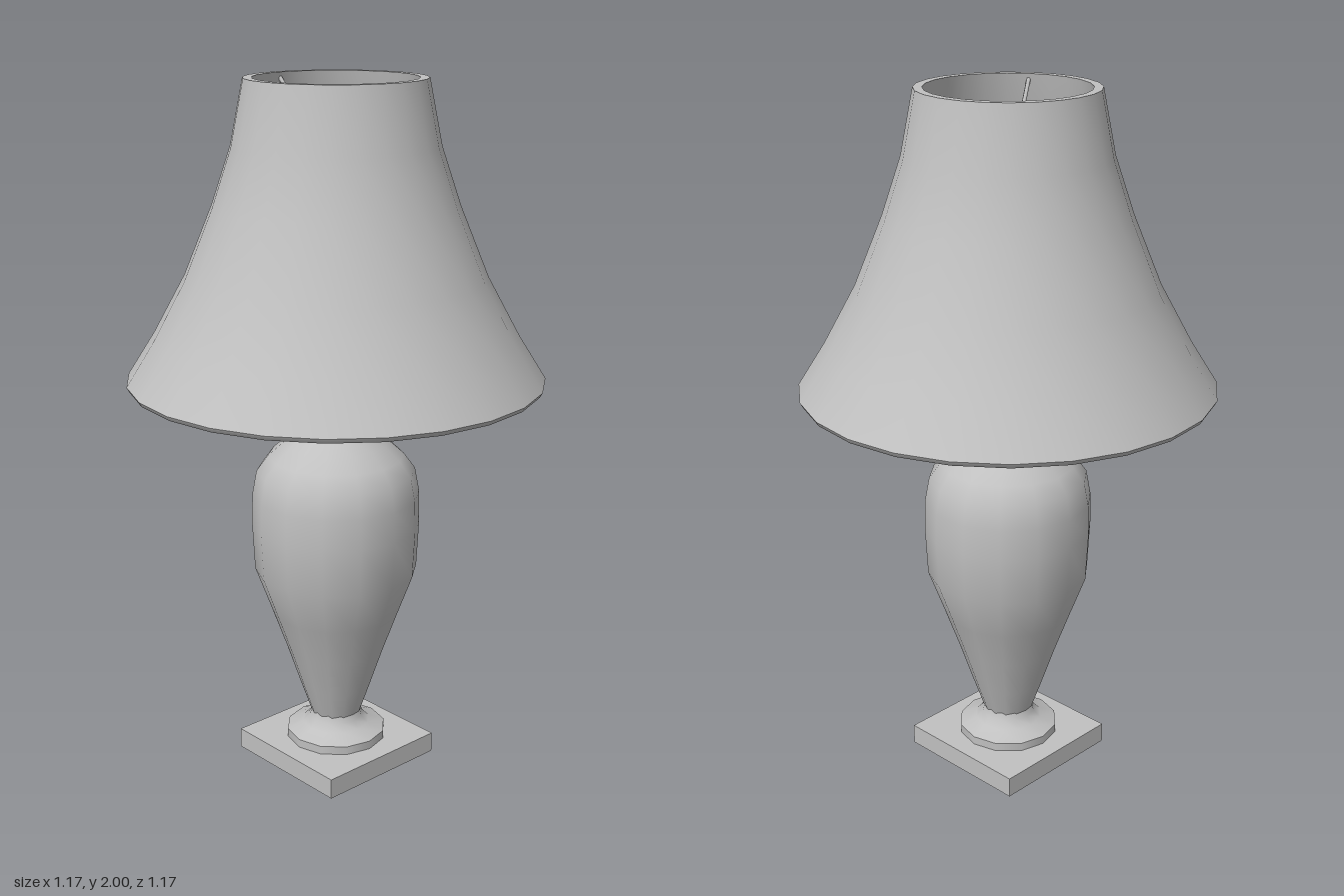
import * as THREE from 'three';

const grey = new THREE.MeshStandardMaterial({ color: 0xc0c0c0 });
grey.name = 'plain grey';

export function createModel() {
  const lamp = new THREE.Group();
  lamp.name = 'tableLamp';

  const add = (name, geometry, parent = lamp) => {
    const mesh = new THREE.Mesh(geometry, grey);
    mesh.name = name;
    parent.add(mesh);
    return mesh;
  };
  // Profile of [radius, height] points; the outside runs upwards
  const lathe = (name, points, sides, parent) =>
    add(name, new THREE.LatheGeometry(points.map(p => new THREE.Vector2(...p)), sides), parent);
  const wire = (name, points, radius, parent) => {
    const path = new THREE.CurvePath();
    const v = points.map(p => new THREE.Vector3(...p));
    for (let i = 1; i < v.length; i++) path.add(new THREE.LineCurve3(v[i - 1], v[i]));
    return add(name, new THREE.TubeGeometry(path, (v.length - 1) * 6, radius, 6), parent);
  };

  // Square plinth and round foot
  add('plinth', new THREE.BoxGeometry(0.41, 0.06, 0.41)).position.y = 0.03;
  lathe('footRim', [[0.148, 0.06], [0.148, 0.085]], 12);
  lathe('footSlope', [[0.148, 0.085], [0.1, 0.105], [0.08, 0.125], [0.074, 0.15]], 12);

  // Vase body with flared mouth
  lathe('vase', [
    [0.074, 0.14], [0.105, 0.23], [0.145, 0.35], [0.188, 0.47], [0.236, 0.6], [0.243, 0.74],
    [0.241, 0.83], [0.228, 0.9], [0.195, 0.945], [0.15, 0.985], [0.098, 1.025]
  ], 14);
  lathe('vaseMouth', [[0.098, 1.025], [0.13, 1.1]], 12);
  lathe('vaseLip', [[0.13, 1.1], [0.122, 1.12]], 12);
  lathe('vaseTop', [[0.122, 1.12], [0, 1.12]], 12);

  // Stem, socket and bulb
  add('stem', new THREE.CylinderGeometry(0.03, 0.03, 0.09, 12)).position.y = 1.16;
  add('socket', new THREE.CylinderGeometry(0.045, 0.045, 0.1, 12)).position.y = 1.245;
  const knob = add('switchKnob', new THREE.CylinderGeometry(0.012, 0.012, 0.05, 8));
  knob.rotation.z = Math.PI / 2;
  knob.position.set(0.06, 1.2, 0);
  lathe('bulb', [
    [0.032, 1.29], [0.036, 1.32], [0.07, 1.36], [0.095, 1.41], [0.1, 1.47],
    [0.085, 1.53], [0.05, 1.57], [0, 1.58]
  ], 14);

  // Wire harp that carries the shade
  const harp = [[0.03, 1.2], [0.085, 1.2], [0.1, 1.26], [0.128, 1.4], [0.13, 1.52],
    [0.11, 1.66], [0.06, 1.77], [0, 1.8]];
  for (const side of [-1, 1]) {
    wire('harpSide', harp.map(([x, y]) => [x * side, y, 0]), 0.004);
  }

  // Hub ring and three sloping spokes
  const hub = add('hubRing', new THREE.TorusGeometry(0.044, 0.006, 6, 20));
  hub.rotation.x = Math.PI / 2;
  hub.position.y = 1.8;
  for (let i = 0; i < 3; i++) {
    const spoke = wire('shadeSpoke', [[0, 1.8, -0.045], [0, 1.985, -0.23]], 0.006);
    spoke.rotation.y = i * Math.PI * 2 / 3;
  }

  // Flared shade: outside, inside and both rims
  const shade = new THREE.Group();
  shade.name = 'shade';
  lamp.add(shade);
  const outer = [[0.587, 1.178], [0.51, 1.3], [0.42, 1.465], [0.34, 1.66], [0.286, 1.82], [0.25, 2]];
  const inner = outer.map(([r, y]) => [r - 0.025, y]);
  inner[0] = [0.567, 1.165];
  lathe('shadeOutside', outer, 24, shade);
  lathe('shadeInside', [...inner].reverse(), 24, shade);
  lathe('shadeTopRim', [[0.25, 2], [0.225, 2]], 24, shade);
  lathe('shadeBottomRim', [[0.567, 1.165], [0.58, 1.165], [0.587, 1.178]], 24, shade);

  return lamp;
}
